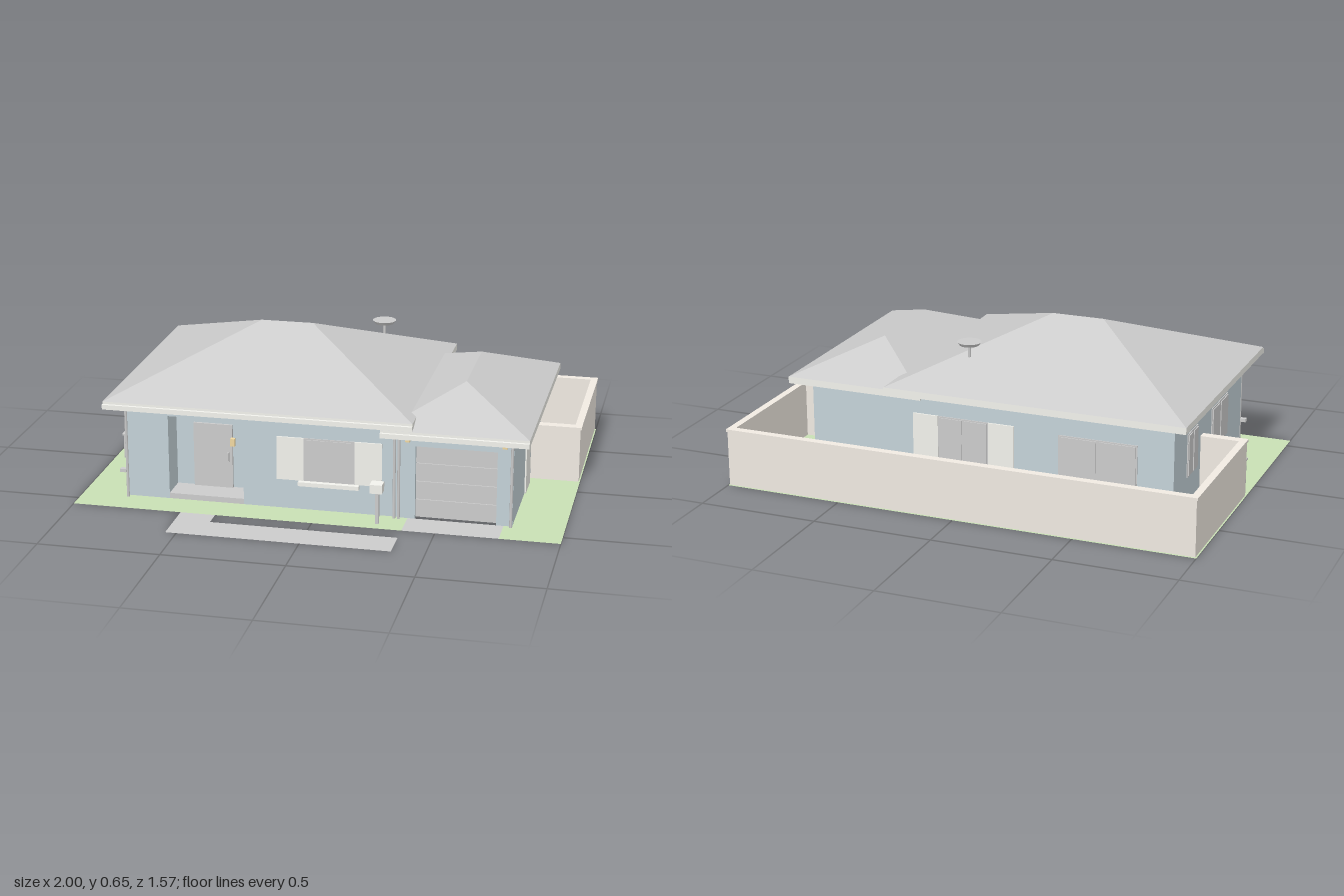
import * as THREE from 'three';

const mat = (color, extra = {}) => new THREE.MeshStandardMaterial({ color, ...extra });
const GREY = mat(0xcccccc), WALL = mat(0xc4d2d8), TRIM = mat(0xf2f2ec), FENCE = mat(0xf0eae2);
const LAMP = mat(0xf0d8a0), ROOF = mat(0xcccccc, { flatShading: true });
const GRASS = mat(0xc8dfb4, { side: THREE.DoubleSide }), PAVING = mat(0xcccccc, { side: THREE.DoubleSide });

export function createModel() {
  const model = new THREE.Group();
  const add = (name, geo, material, parent = model) => {
    const mesh = new THREE.Mesh(geo, material);
    mesh.name = name;
    parent.add(mesh);
    return mesh;
  };
  // Box given by its extents on each axis
  const box = (name, x0, x1, y0, y1, z0, z1, material = GREY, parent = model) => {
    const mesh = add(name, new THREE.BoxGeometry(x1 - x0, y1 - y0, z1 - z0), material, parent);
    mesh.position.set((x0 + x1) / 2, (y0 + y1) / 2, (z0 + z1) / 2);
    return mesh;
  };
  // Ground outline as [x, z] points
  const plan = (pts) => new THREE.Shape(pts.map(([x, z]) => new THREE.Vector2(x, -z)));
  const flat = (name, pts, material) =>
    add(name, new THREE.ShapeGeometry(plan(pts)).rotateX(-Math.PI / 2), material);

  // Ground: lawn cut out below the garage, driveway and path
  flat('lawn', [[-1, -0.79], [1, -0.79], [1, 0.565], [0.755, 0.565], [0.755, -0.505],
    [0.365, -0.505], [0.365, 0.565], [-1, 0.565]], GRASS);
  flat('driveway', [[0.365, 0.43], [0.755, 0.43], [0.755, 0.565], [0.365, 0.565]], PAVING);
  flat('frontPath', [[-0.545, 0.565], [-0.4, 0.565], [-0.4, 0.64], [0.365, 0.64],
    [0.365, 0.78], [-0.545, 0.78]], PAVING);

  // Main house with the porch recess
  const body = new THREE.ExtrudeGeometry(plan([[-0.81, -0.49], [0.32, -0.49], [0.32, 0.43],
    [-0.315, 0.43], [-0.315, 0.31], [-0.63, 0.31], [-0.63, 0.43], [-0.81, 0.43]]),
  { depth: 0.405, bevelEnabled: false }).rotateX(-Math.PI / 2).translate(0, 0.002, 0);
  add('mainWalls', body, WALL);
  box('porchLintel', -0.63, -0.315, 0.36, 0.405, 0.31, 0.43, WALL);
  box('porchFloor', -0.63, -0.315, 0.002, 0.025, 0.31, 0.43);
  box('frontDoor', -0.555, -0.39, 0.025, 0.3, 0.31, 0.32);
  box('doorHandle', -0.412, -0.404, 0.14, 0.18, 0.32, 0.33);

  // Garage shell, with an opening for the door
  const front = new THREE.Shape([[0.32, 0], [0.395, 0], [0.395, 0.31], [0.725, 0.31], [0.725, 0],
    [0.79, 0], [0.79, 0.37], [0.32, 0.37]].map(([x, y]) => new THREE.Vector2(x, y)));
  add('garageFront', new THREE.ExtrudeGeometry(front, { depth: 0.03, bevelEnabled: false })
    .translate(0, 0, 0.4), WALL);
  box('garageSide', 0.77, 0.79, 0.002, 0.37, -0.42, 0.4, WALL);
  box('garageBack', 0.32, 0.77, 0.002, 0.37, -0.42, -0.4, WALL);
  box('garageSideDoor', 0.79, 0.796, 0.002, 0.29, -0.06, 0.07, TRIM);
  for (let i = 0; i < 4; i++) {
    const y = i * 0.0775;
    box('garageDoorPanel', 0.395, 0.725, y + 0.005, y + 0.0775, 0.4, 0.412);
    box('garageDoorGroove', 0.395, 0.725, y, y + 0.005, 0.4, 0.406);
  }

  // Hipped roof on a fascia slab; r0 and r1 are the ridge ends [x, z]
  const hipRoof = (name, x0, x1, z0, z1, y, yRidge, r0, r1, alongX) => {
    const roof = new THREE.Group();
    roof.name = name;
    const c = [[x0, y, z1], [x1, y, z1], [x1, y, z0], [x0, y, z0]];
    const A = [r0[0], yRidge, r0[1]], B = [r1[0], yRidge, r1[1]];
    const tops = alongX ? [A, B, B, A] : [A, A, B, B]; // ridge point above each corner
    const pos = [];
    for (let i = 0; i < 4; i++) {
      const j = (i + 1) % 4;
      pos.push(...c[i], ...c[j], ...tops[j]);
      if (tops[i] !== tops[j]) pos.push(...c[i], ...tops[j], ...tops[i]);
    }
    const geo = new THREE.BufferGeometry();
    geo.setAttribute('position', new THREE.Float32BufferAttribute(pos, 3));
    geo.computeVertexNormals();
    add('roofSlopes', geo, ROOF, roof);
    box('fascia', x0, x1, y - 0.028, y, z0, z1, TRIM, roof);
    box('gutter', x0, x1, y - 0.03, y - 0.01, z1, z1 + 0.012, TRIM, roof);
    model.add(roof);
  };
  hipRoof('mainRoof', -0.88, 0.395, -0.57, 0.505, 0.43, 0.65, [-0.35, -0.035], [-0.13, -0.035], true);
  hipRoof('garageRoof', 0.265, 0.86, -0.5, 0.505, 0.395, 0.52, [0.56, 0.2], [0.56, -0.2], false);

  // Openings are built facing +z, then turned onto their wall
  const opening = (name, x, z, turn, w, y0, y1, shutter = 0, sill = false) => {
    const g = new THREE.Group();
    g.name = name;
    const h = w / 2;
    box('frame', -h, h, y0, y1, -0.01, 0.004, GREY, g);
    for (const s of [-1, 1]) {
      const m = s * h / 2, p = h / 2 - 0.006;
      box('pane', m - p, m + p, y0 + 0.006, y1 - 0.006, 0, 0.008, GREY, g);
      if (shutter) {
        const k = s * (h + shutter / 2);
        box('shutter', k - shutter / 2, k + shutter / 2, y0, y1, 0, 0.006, TRIM, g);
      }
    }
    if (sill) box('sill', -h - 0.02, h + 0.02, y0 - 0.017, y0, 0, 0.025, TRIM, g);
    g.position.set(x, 0, z);
    g.rotation.y = turn;
    model.add(g);
  };
  opening('frontWindow', 0.043, 0.43, 0, 0.21, 0.127, 0.31, 0.112, true);
  opening('backWindow', 0.08, -0.49, Math.PI, 0.22, 0.127, 0.31, 0.11, true);
  opening('backDoor', -0.495, -0.49, Math.PI, 0.33, 0.01, 0.3);
  opening('sideWindow', -0.81, -0.26, -Math.PI / 2, 0.13, 0.127, 0.31);
  opening('sideWindow', -0.81, 0.11, -Math.PI / 2, 0.22, 0.127, 0.31);

  // Lamps and downpipes
  for (const [x, y] of [[-0.355, 0.272], [0.365, 0.347], [0.755, 0.347]])
    box('wallLamp', x - 0.009, x + 0.009, y - 0.016, y + 0.016, 0.43, 0.448, LAMP);
  for (const [x, top] of [[-0.805, 0.41], [0.312, 0.41], [0.33, 0.37], [0.785, 0.37]]) {
    const pipe = add('downpipe', new THREE.CylinderGeometry(0.006, 0.006, top, 8), GREY);
    pipe.position.set(x, top / 2, 0.442);
  }

  // Yard wall with coping
  for (const [x0, x1, z0, z1] of [[-1, 1, -0.785, -0.76], [-0.995, -0.97, -0.76, -0.115],
    [0.97, 0.995, -0.76, -0.115], [-0.97, -0.81, -0.145, -0.115], [0.79, 0.97, -0.145, -0.115]]) {
    const e = x1 - x0 > 1 ? 0.005 : 0;
    box('yardWall', x0 + e, x1 - e, 0.002, 0.232, z0, z1, FENCE);
    box('wallCoping', x0 - (x0 < -0.98 && !e ? 0.005 : 0), x1 + (x1 > 0.98 && !e ? 0.005 : 0),
      0.232, 0.243, z0 - 0.004, z1 + 0.004, FENCE);
  }

  // Outdoor unit and tap
  box('outdoorUnit', -0.96, -0.85, 0.002, 0.105, -0.1, 0.015);
  box('outdoorUnitLid', -0.965, -0.845, 0.105, 0.112, -0.104, 0.019);
  box('tap', -0.835, -0.81, 0.108, 0.122, 0.43, 0.45);

  // Letterbox
  box('letterboxPost', 0.251, 0.265, 0.002, 0.135, 0.508, 0.522);
  box('letterbox', 0.23, 0.28, 0.135, 0.172, 0.485, 0.535, TRIM);

  // Roof vent
  const ventPost = add('ventPost', new THREE.CylinderGeometry(0.006, 0.006, 0.1, 8), GREY);
  ventPost.position.set(0.115, 0.525, -0.34);
  const ventCap = add('ventCap', new THREE.CylinderGeometry(0.05, 0.04, 0.014, 24), GREY);
  ventCap.position.set(0.115, 0.582, -0.34);

  return model;
}
